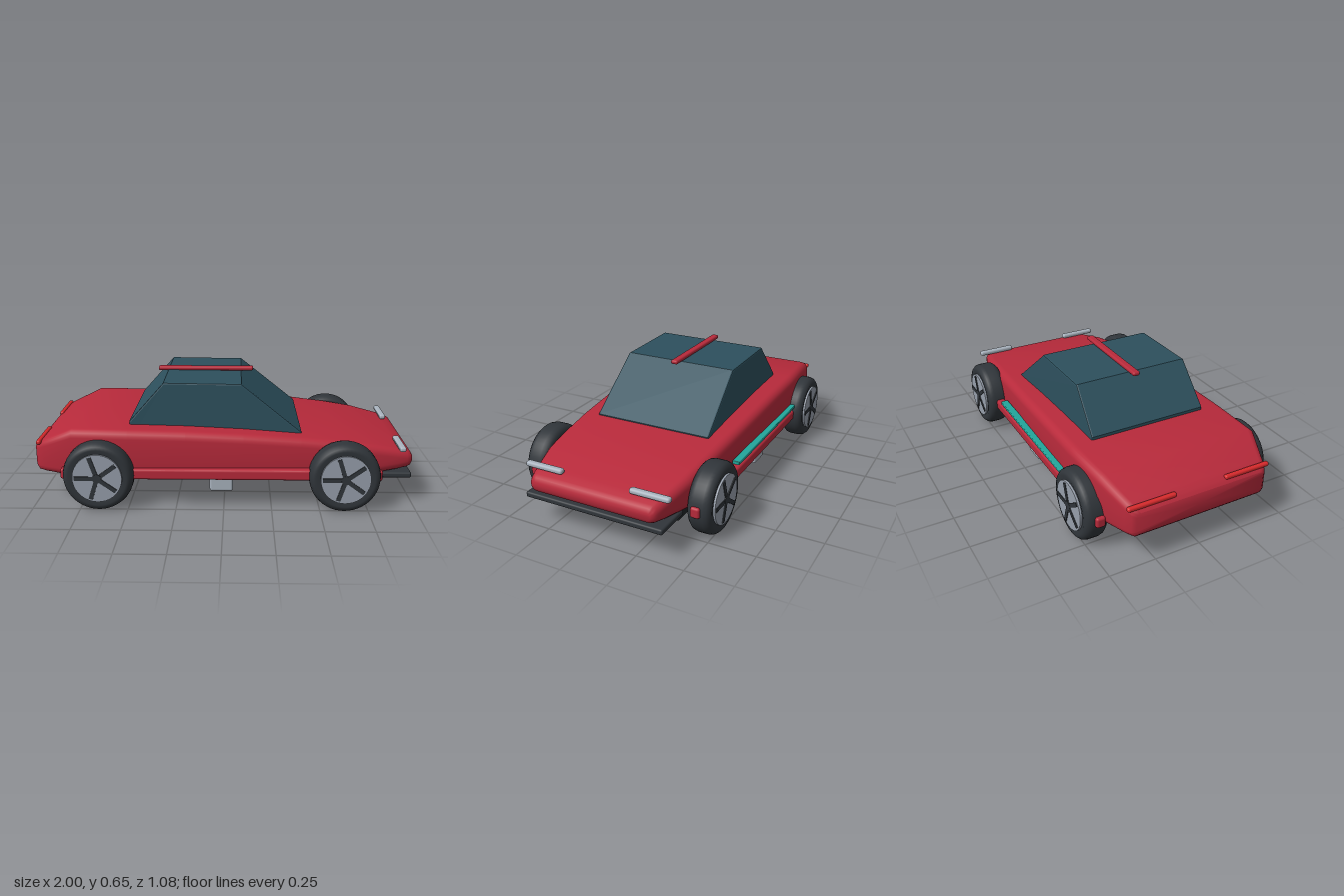
import * as THREE from 'three';
import { toCreasedNormals } from 'three/addons/utils/BufferGeometryUtils.js';
import { RoundedBoxGeometry } from 'three/addons/geometries/RoundedBoxGeometry.js';

const material = (name, color) => {
  const m = new THREE.MeshStandardMaterial({ color });
  m.name = name;
  return m;
};

// Body sections: x, bottom y, top y, half width, corner radius
const SECTIONS = [
  [-1.0, 0.185, 0.305, 0.36, 0.02],
  [-0.985, 0.168, 0.322, 0.38, 0.03],
  [-0.95, 0.163, 0.342, 0.397, 0.035],
  [-0.79, 0.153, 0.415, 0.452, 0.042],
  [-0.5, 0.15, 0.412, 0.459, 0.045],
  [-0.2, 0.15, 0.405, 0.457, 0.045],
  [0.1, 0.15, 0.391, 0.452, 0.045],
  [0.4, 0.15, 0.369, 0.438, 0.045],
  [0.6, 0.152, 0.348, 0.423, 0.045],
  [0.76, 0.158, 0.325, 0.408, 0.045],
  [0.92, 0.175, 0.29, 0.37, 0.042],
  [0.97, 0.183, 0.276, 0.355, 0.038],
  [0.99, 0.192, 0.265, 0.345, 0.032],
  [1.0, 0.21, 0.248, 0.33, 0.018],
];

// Loft of rounded rectangles along x, closed at both ends
function loftBody() {
  const steps = 5, n = 4 * (steps + 1), pos = [], idx = [];
  for (const [x, y0, y1, w, r] of SECTIONS) {
    for (let c = 0; c < 4; c++) {
      const right = c === 0 || c === 3;
      const u = (right ? 1 : -1) * (w - r);
      const y = c < 2 ? y1 - r : y0 + r;
      for (let k = 0; k <= steps; k++) {
        const a = (c + k / steps) * Math.PI / 2;
        pos.push(x, y + r * Math.sin(a), -(u + r * Math.cos(a)));
      }
    }
  }
  const last = SECTIONS.length - 1;
  for (let i = 0; i < last; i++) {
    for (let j = 0; j < n; j++) {
      const a = i * n + j, b = i * n + (j + 1) % n;
      idx.push(a, b, a + n, b, b + n, a + n);
    }
  }
  for (const i of [0, last]) {
    const [x, y0, y1] = SECTIONS[i], centre = pos.length / 3;
    pos.push(x, (y0 + y1) / 2, 0);
    for (let j = 0; j < n; j++) {
      const a = i * n + j, b = i * n + (j + 1) % n;
      idx.push(centre, i ? a : b, i ? b : a);
    }
  }
  const g = new THREE.BufferGeometry();
  g.setAttribute('position', new THREE.Float32BufferAttribute(pos, 3));
  g.setIndex(idx);
  return toCreasedNormals(g, 0.7);
}

// Cabin: side outline extruded across, with a small bevel and slight taper
function cabinGeometry() {
  const s = new THREE.Shape();
  [[-0.495, 0.33], [0.4, 0.33], [0.4, 0.37], [0.085, 0.623], [-0.315, 0.628], [-0.495, 0.425]]
    .forEach(([x, y], i) => (i ? s.lineTo(x, y) : s.moveTo(x, y)));
  s.closePath();
  const g = new THREE.ExtrudeGeometry(s, {
    depth: 0.65, bevelEnabled: true, bevelSize: 0.008, bevelThickness: 0.008, bevelSegments: 2,
  });
  g.translate(0, 0, -0.325);
  const p = g.attributes.position;
  for (let i = 0; i < p.count; i++) {
    const t = Math.max(0, (p.getY(i) - 0.37) / 0.26);
    p.setZ(i, p.getZ(i) * (1 - 0.035 * t));
  }
  g.computeVertexNormals();
  return g;
}

export function createModel() {
  const car = new THREE.Group();
  car.name = 'car';
  const red = material('body red', 0xb82a3b);
  const glass = material('dark glass', 0x2d505d);
  const rubber = material('tyre rubber', 0x30353a);
  const dark = material('underbody black', 0x202427);
  const silver = material('silver', 0xa9b3be);
  const rimGrey = material('rim grey', 0x979fab);
  const tailRed = material('tail light red', 0xd92a2c);
  const teal = material('teal', 0x22a69b);

  const add = (name, geometry, mat, parent = car) => {
    const mesh = new THREE.Mesh(geometry, mat);
    mesh.name = name;
    parent.add(mesh);
    return mesh;
  };
  // Rounded box given by its extents on each axis
  const block = (name, mat, [x0, x1], [y0, y1], [z0, z1], radius) => {
    const g = new RoundedBoxGeometry(x1 - x0, y1 - y0, z1 - z0, 3, radius);
    g.translate((x0 + x1) / 2, (y0 + y1) / 2, (z0 + z1) / 2);
    return add(name, g, mat);
  };
  const mirrored = (s, a, b) => (s > 0 ? [a, b] : [-b, -a]);

  // Shell and cabin
  add('body', loftBody(), red);
  add('cabin', cabinGeometry(), glass);
  block('roofBar', red, [-0.375, 0.155], [0.632, 0.655], [-0.02, 0.02], 0.01);

  // Underside
  block('underbody', dark, [-0.83, 0.81], [0.115, 0.16], [-0.375, 0.375], 0.01);
  block('frontSplitter', rubber, [0.78, 0.99], [0.14, 0.17], [-0.385, 0.385], 0.01);

  // Stripe on the right side only
  block('sideStripe', teal, [-0.5, 0.36], [0.23, 0.25], [-0.487, -0.447], 0.004);

  // Mirrored fittings
  for (const s of [1, -1]) {
    block('sideSill', red, [-0.85, 0.82], [0.158, 0.215], mirrored(s, 0.435, 0.485), 0.013);
    block('sideBox', silver, [-0.075, 0.047], [0.083, 0.158], mirrored(s, 0.36, 0.45), 0.012);
    block('headlight', silver, [0.917, 0.952], [0.288, 0.316], mirrored(s, 0.188, 0.403), 0.012);
    block('tailLight', tailRed, [-0.99, -0.964], [0.315, 0.34], mirrored(s, 0.138, 0.4), 0.011);
  }

  // Wheel parts, with the axle along z and the outer face towards +z
  const tyreProfile = [
    [0.122, -0.056], [0.15, -0.062], [0.166, -0.057], [0.178, -0.044], [0.183, -0.025],
    [0.183, 0.025], [0.178, 0.044], [0.166, 0.057], [0.15, 0.062], [0.122, 0.056],
  ].map(([r, h]) => new THREE.Vector2(r, h));
  const tyreGeo = new THREE.LatheGeometry(tyreProfile, 48).rotateX(Math.PI / 2);
  const rimGeo = new THREE.CylinderGeometry(0.128, 0.128, 0.128, 40).rotateX(Math.PI / 2);
  const hubGeo = new THREE.CylinderGeometry(0.024, 0.024, 0.012, 20).rotateX(Math.PI / 2);
  const spokeGeo = new THREE.BoxGeometry(0.115, 0.022, 0.01).translate(0.06, 0, 0);

  for (const [x, end] of [[0.624, 'front'], [-0.649, 'rear']]) {
    for (const s of [1, -1]) {
      const wheel = new THREE.Group();
      wheel.name = end + (s > 0 ? 'LeftWheel' : 'RightWheel');
      add('tyre', tyreGeo, rubber, wheel);
      add('rim', rimGeo, rimGrey, wheel).position.z = 0.004;
      add('hub', hubGeo, rubber, wheel).position.z = 0.067;
      for (let i = 0; i < 5; i++) {
        const spoke = add('spoke', spokeGeo, rubber, wheel);
        spoke.position.z = 0.067;
        spoke.rotation.z = Math.PI + i * Math.PI * 2 / 5;
      }
      wheel.position.set(x, 0.183, s * 0.468);
      if (s < 0) wheel.rotation.y = Math.PI;
      car.add(wheel);
    }
  }
  return car;
}
